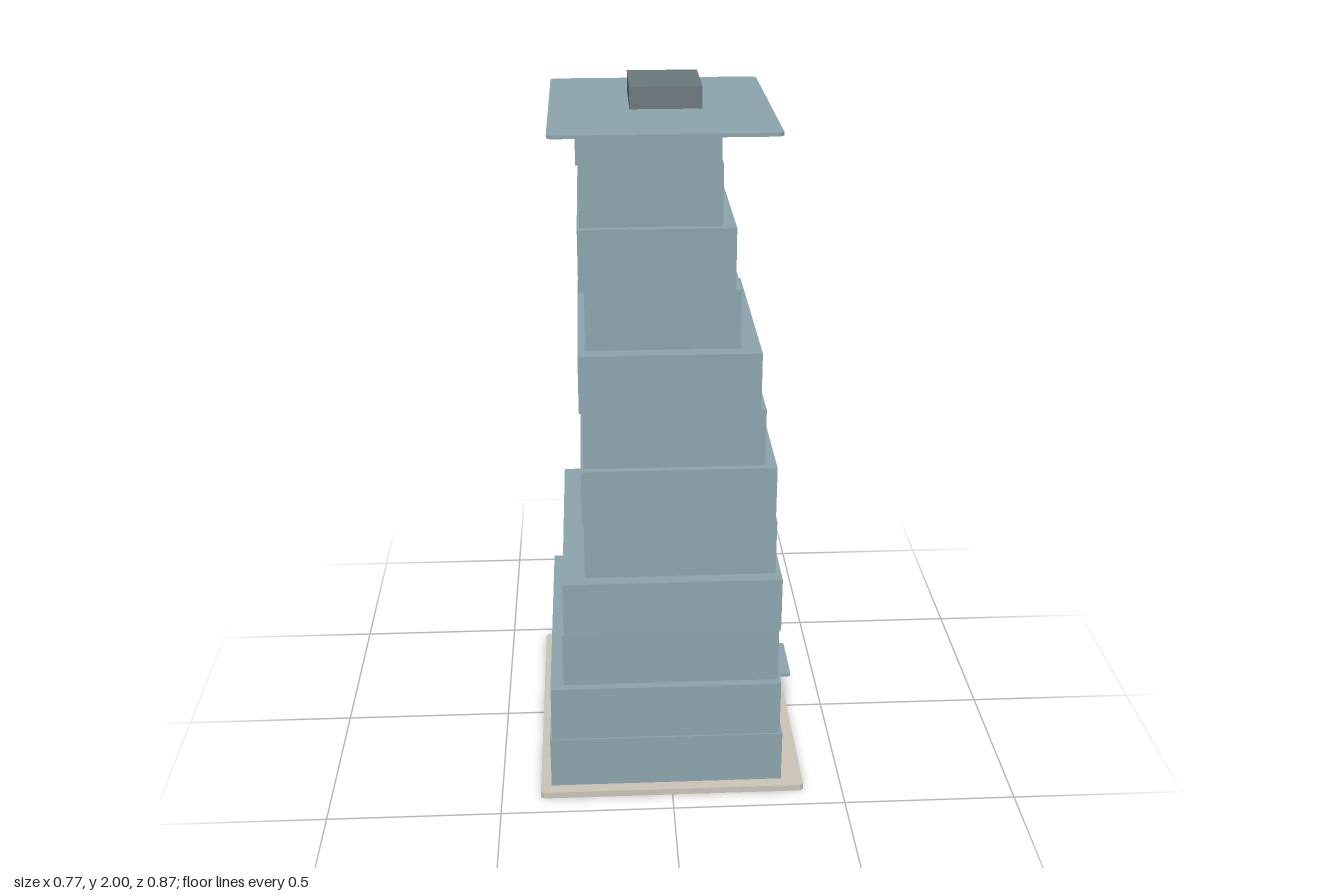
import * as THREE from 'three';

export function createModel() {
  const cladding = new THREE.MeshStandardMaterial({ color: 0x8ca5ad });
  const stone = new THREE.MeshStandardMaterial({ color: 0xcbc5b8 });
  const darkGrey = new THREE.MeshStandardMaterial({ color: 0x6b787c });
  cladding.name = 'cladding';
  stone.name = 'stone';
  darkGrey.name = 'darkGrey';

  const tower = new THREE.Group();
  tower.name = 'tower';

  const add = (name, geometry, material) => {
    const mesh = new THREE.Mesh(geometry, material);
    mesh.name = name;
    tower.add(mesh);
    return mesh;
  };

  // Box given by its limits on each axis
  const block = (name, [x0, x1], [y0, y1], [z0, z1], material) =>
    add(name, new THREE.BoxGeometry(x1 - x0, y1 - y0, z1 - z0), material)
      .position.set((x0 + x1) / 2, (y0 + y1) / 2, (z0 + z1) / 2);

  // Flat slab with clipped corners
  const slab = (name, [x0, x1], [y0, y1], [z0, z1], c, material) => {
    const outline = new THREE.Shape([
      [x0 + c, -z1], [x1 - c, -z1], [x1, c - z1], [x1, -z0 - c],
      [x1 - c, -z0], [x0 + c, -z0], [x0, -z0 - c], [x0, c - z1],
    ].map(([x, y]) => new THREE.Vector2(x, y)));
    const geometry = new THREE.ExtrudeGeometry(outline, { depth: y1 - y0, bevelEnabled: false });
    geometry.rotateX(-Math.PI / 2);
    add(name, geometry, material).position.y = y0;
  };

  slab('basePlate', [-0.386, 0.386], [0, 0.02], [-0.437, 0.437], 0.008, stone);

  // Hollow ground storey with a doorway in the +x wall
  const storey = [0.02, 0.18];
  const t = 0.012, door = 0.076, doorTop = 0.165;
  block('rightWall', [-0.355, -0.355 + t], storey, [-0.405, 0.403], cladding);
  block('frontWall', [-0.355 + t, 0.323], storey, [0.403 - t, 0.403], cladding);
  block('backWall', [-0.355 + t, 0.323], storey, [-0.405, -0.405 + t], cladding);
  block('doorWallFront', [0.323 - t, 0.323], storey, [door, 0.403 - t], cladding);
  block('doorWallBack', [0.323 - t, 0.323], storey, [-0.405 + t, -door], cladding);
  block('doorLintel', [0.323 - t, 0.323], [doorTop, 0.18], [-door, door], cladding);

  // Door frame and canopy
  for (const s of [-1, 1]) {
    const z = s * (door + 0.002);
    block('doorJamb', [0.315, 0.329], [0.02, doorTop], [z - 0.003, z + 0.003], cladding);
  }
  block('canopyBeam', [0.32, 0.337], [0.16, 0.17], [-0.08, 0.08], stone);
  slab('canopy', [0.322, 0.386], [0.169, 0.178], [-0.09, 0.09], 0.006, cladding);

  // Stepped storeys: bottom, top, x limits, z limits
  const tiers = [
    [0.18, 0.35, -0.349, 0.315, -0.395, 0.398],
    [0.35, 0.515, -0.312, 0.307, -0.373, 0.375],
    [0.515, 0.68, -0.306, 0.312, -0.373, 0.375],
    [0.68, 0.845, -0.243, 0.296, -0.335, 0.337],
    [0.845, 1.01, -0.248, 0.292, -0.335, 0.337],
    [1.01, 1.175, -0.24, 0.26, -0.313, 0.316],
    [1.175, 1.34, -0.249, 0.245, -0.313, 0.316],
    [1.34, 1.505, -0.228, 0.19, -0.272, 0.275],
    [1.505, 1.675, -0.243, 0.174, -0.272, 0.275],
    [1.675, 1.84, -0.237, 0.139, -0.25, 0.253],
    [1.84, 1.932, -0.243, 0.134, -0.25, 0.253],
  ];
  tiers.forEach(([y0, y1, x0, x1, z0, z1], i) =>
    block(`storey${i + 1}`, [x0, x1], [y0, y1], [z0, z1], cladding));

  // Roof slab and plant box
  slab('roof', [-0.313, 0.281], [1.932, 1.941], [-0.352, 0.35], 0.012, cladding);
  block('roofBox', [-0.098, 0.096], [1.941, 2], [-0.161, 0.064], darkGrey);

  return tower;
}
